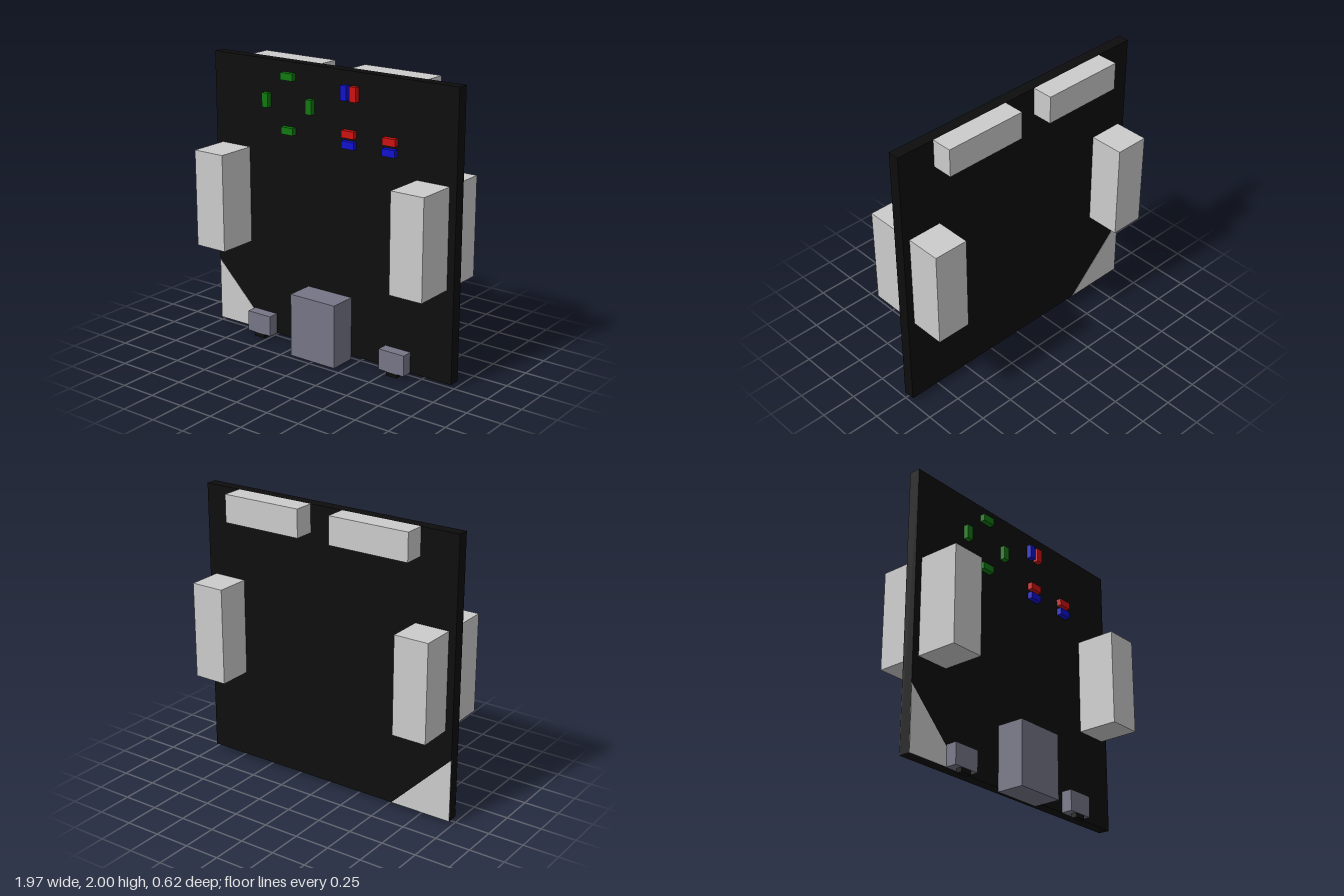
import * as THREE from 'three';

const paint = (name, color) => {
  const m = new THREE.MeshStandardMaterial({ color });
  m.name = name;
  return m;
};

export function createModel() {
  const black = paint('black', 0x0d0d0d);
  const lightGrey = paint('light grey', 0xcccccc);
  const slate = paint('slate grey', 0x757586);
  const green = paint('green', 0x0f780f);
  const red = paint('red', 0xcc0f0f);
  const blue = paint('blue', 0x0f0fcc);

  const model = new THREE.Group();
  model.name = 'panel';
  const FRONT = 0.018, BACK = -0.062;

  // Box given by its extents on each axis
  const box = (name, mat, [x0, x1], [y0, y1], [z0, z1]) => {
    const mesh = new THREE.Mesh(new THREE.BoxGeometry(x1 - x0, y1 - y0, z1 - z0), mat);
    mesh.position.set((x0 + x1) / 2, (y0 + y1) / 2, (z0 + z1) / 2);
    mesh.name = name;
    model.add(mesh);
  };

  // Upright board
  box('board', black, [-0.987, 0.987], [0.03, 2], [BACK, FRONT]);

  // Pale corner triangle on both faces
  const corner = new THREE.Shape([[0, 0], [0.45, 0], [0, 0.45]].map(p => new THREE.Vector2(...p)));
  const cornerGeo = new THREE.ExtrudeGeometry(corner, { depth: 0.002, bevelEnabled: false });
  for (const [name, z] of [['frontCorner', FRONT], ['backCorner', BACK - 0.002]]) {
    const mesh = new THREE.Mesh(cornerGeo, lightGrey);
    mesh.position.set(-0.987, 0.03, z);
    mesh.name = name;
    model.add(mesh);
  }

  // Paired blocks, mirrored left and right
  for (const [side, s] of [['left', 1], ['right', -1]]) {
    const span = (a, b) => (s > 0 ? [a, b] : [-b, -a]);
    box(side + 'SideBlock', lightGrey, span(0.689, 0.935), [0.675, 1.362], [-0.309, 0.309]);
    box(side + 'TopBlock', lightGrey, span(0.122, 0.713), [1.805, 2], [-0.208, BACK]);
    box(side + 'LowerBlock', slate, span(0.467, 0.667), [0.03, 0.177], [FRONT, 0.096]);
    box(side + 'Foot', black, span(0.524, 0.61), [0, 0.03], [0.05, 0.092]);
  }

  // Central bottom block
  box('centreBlock', slate, [-0.184, 0.184], [0, 0.45], [FRONT, 0.213]);

  // Small coloured tabs: material, centre x, centre y, upright or flat
  const tabs = [
    [green, -0.333, 1.903, false], [green, -0.333, 1.533, false],
    [green, -0.521, 1.721, true], [green, -0.15, 1.721, true],
    [blue, 0.135, 1.855, true], [red, 0.21, 1.855, true],
    [red, 0.17, 1.585, false], [blue, 0.17, 1.513, false],
    [red, 0.493, 1.585, false], [blue, 0.493, 1.513, false],
  ];
  for (const [mat, x, y, upright] of tabs) {
    const [w, h] = upright ? [0.025, 0.05] : [0.05, 0.025];
    box(mat.name + 'Tab', mat, [x - w, x + w], [y - h, y + h], [FRONT, 0.054]);
  }
  return model;
}
